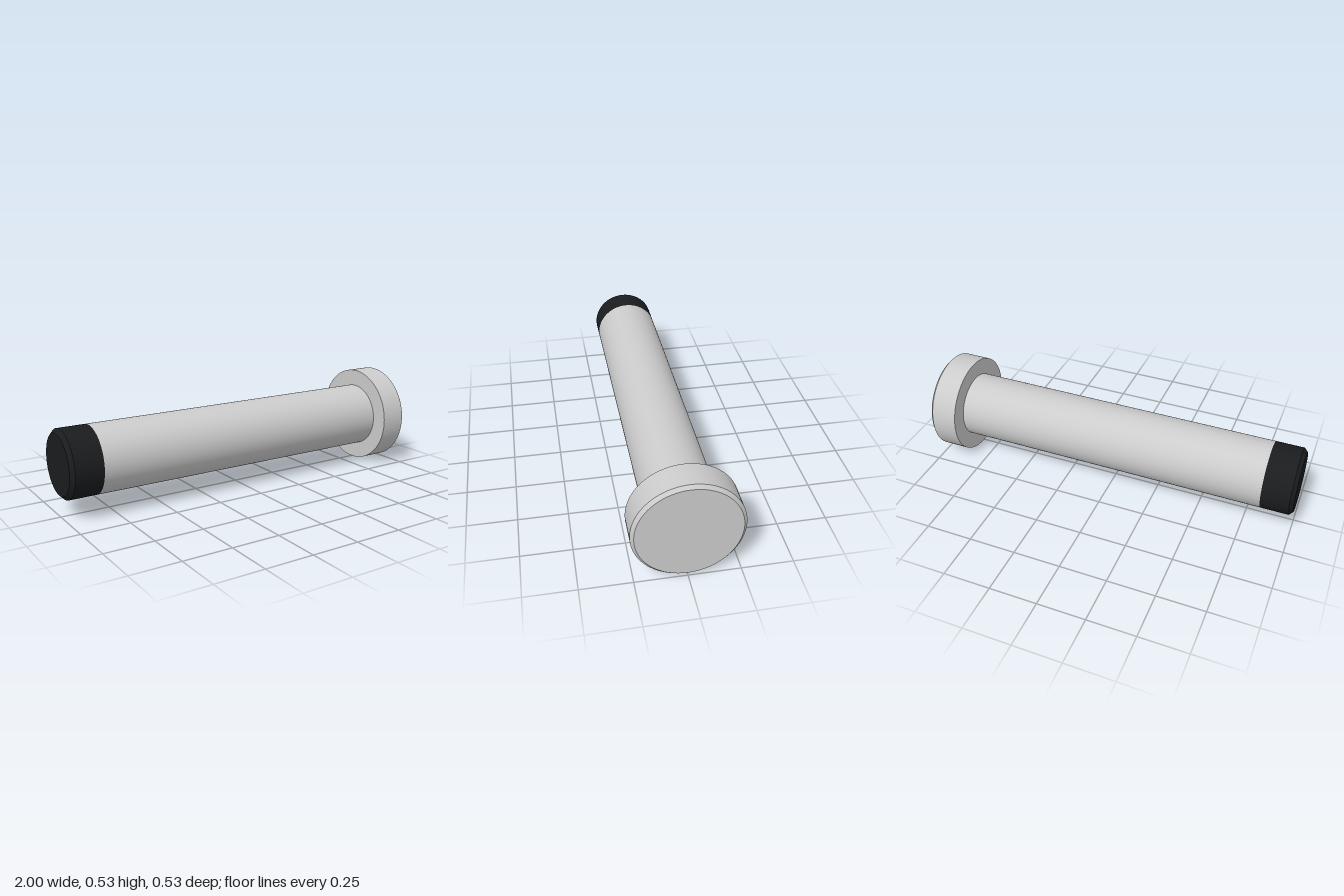
import * as THREE from 'three';
import { toCreasedNormals } from 'three/addons/utils/BufferGeometryUtils.js';

const FLANGE_R = 0.263, ROD_R = 0.174, CHAMFER = 0.016, TIP_CHAMFER = 0.02;
const TIP_X = -0.835, FLANGE_X = 0.845;

// Turned part: profile of [radius, x], revolved about the x axis with crisp edges
function turned(name, profile, color) {
  const lathe = new THREE.LatheGeometry(profile.map(([r, x]) => new THREE.Vector2(r, x)), 96);
  lathe.rotateZ(-Math.PI / 2);
  const mesh = new THREE.Mesh(toCreasedNormals(lathe, 0.5), new THREE.MeshStandardMaterial({ color }));
  mesh.name = name;
  mesh.position.y = FLANGE_R;
  return mesh;
}

export function createModel() {
  const group = new THREE.Group();
  group.name = 'doorStop';

  // Dark bumper with a chamfered end
  group.add(turned('rubberTip', [
    [0, -1], [ROD_R - TIP_CHAMFER, -1], [ROD_R, -1 + TIP_CHAMFER], [ROD_R, TIP_X], [0, TIP_X],
  ], 0x1b1c1e));

  // Straight round rod
  group.add(turned('rod', [
    [0, TIP_X], [ROD_R, TIP_X], [ROD_R, FLANGE_X], [0, FLANGE_X],
  ], 0xcccccc));

  // Wide mounting disc, chamfered on its outer face
  group.add(turned('mountingFlange', [
    [0, FLANGE_X], [FLANGE_R, FLANGE_X], [FLANGE_R, 1 - CHAMFER], [FLANGE_R - CHAMFER, 1], [0, 1],
  ], 0xcccccc));

  return group;
}
